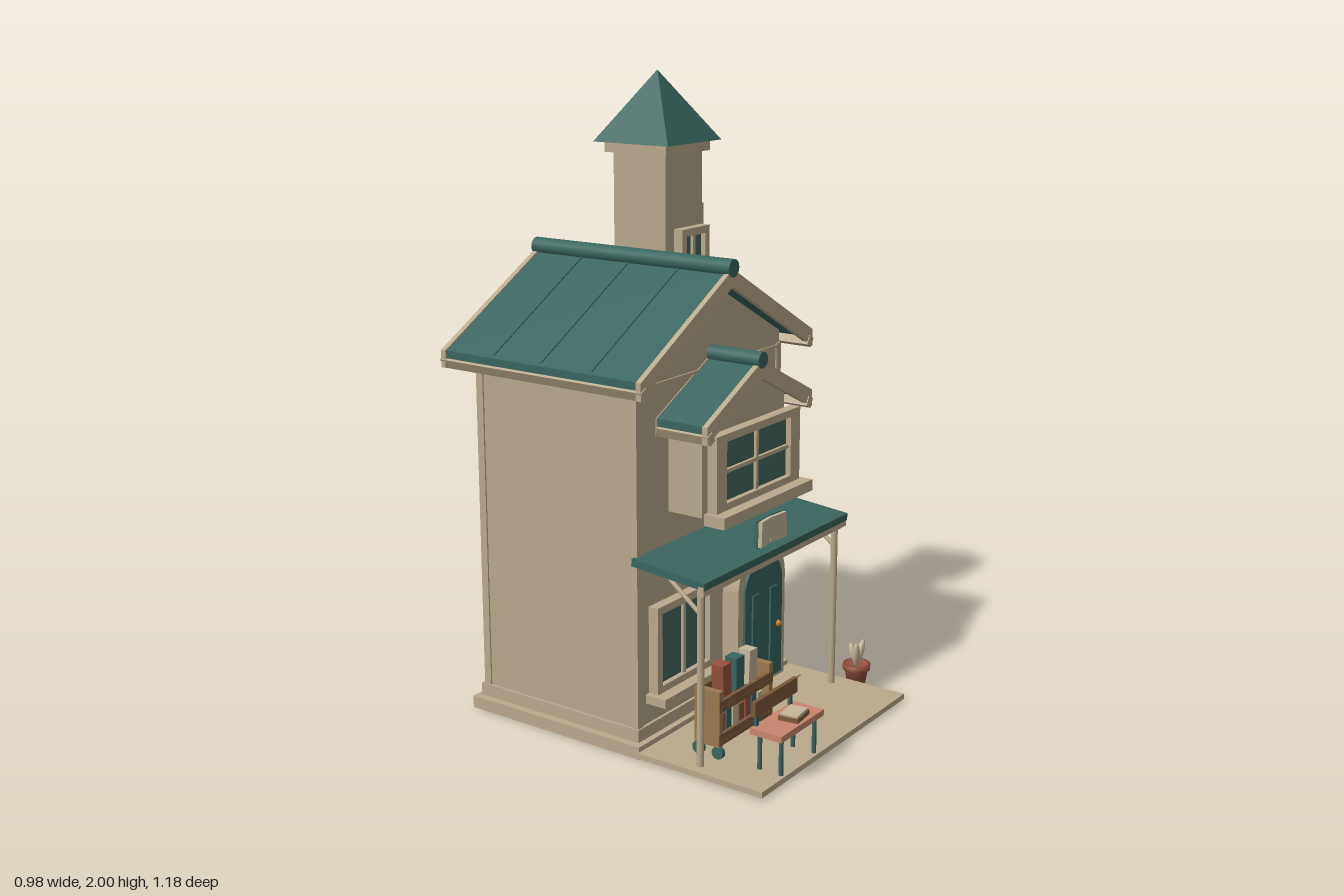
import * as THREE from 'three';

const mat = (name, color) => {
  const m = new THREE.MeshStandardMaterial({ color });
  m.name = name;
  return m;
};

export function createModel() {
  const plaster = mat('plaster', 0xb8a88c), trim = mat('trim', 0xbaaa8d);
  const teal = mat('teal', 0x3a655f), glassMat = mat('glass', 0x46665f);
  const wood = mat('wood', 0x7d5a3a), paleWood = mat('paleWood', 0x9b7a50);
  const pink = mat('pink', 0xc9866f), clay = mat('clay', 0x96503f);
  const brass = mat('brass', 0xb98238), paper = mat('paper', 0xc4b69a);
  const CX = -0.025;

  const root = new THREE.Group();
  root.name = 'townhouse';
  const group = (name, parent = root) => {
    const g = new THREE.Group();
    g.name = name;
    parent.add(g);
    return g;
  };
  const add = (name, geo, m, parent = root, x = 0, y = 0, z = 0) => {
    const mesh = new THREE.Mesh(geo, m);
    mesh.name = name;
    mesh.position.set(x, y, z);
    parent.add(mesh);
    return mesh;
  };
  // Box given by its min and max on each axis
  const box = (name, m, x0, x1, y0, y1, z0, z1, parent = root) =>
    add(name, new THREE.BoxGeometry(x1 - x0, y1 - y0, z1 - z0), m, parent, (x0 + x1) / 2, (y0 + y1) / 2, (z0 + z1) / 2);
  // Polygon in x,y extruded between two z positions
  const prism = (name, m, pts, z0, z1, parent = root) => {
    const shape = new THREE.Shape(pts.map(p => new THREE.Vector2(...p)));
    return add(name, new THREE.ExtrudeGeometry(shape, { depth: z1 - z0, bevelEnabled: false }), m, parent, 0, 0, z0);
  };
  // Round rod between two points
  const rod = (name, m, a, b, r, parent = root) => {
    const p = new THREE.Vector3(...a), q = new THREE.Vector3(...b);
    const mesh = add(name, new THREE.CylinderGeometry(r, r, p.distanceTo(q), 12), m, parent);
    mesh.position.copy(p).lerp(q, 0.5);
    mesh.quaternion.setFromUnitVectors(new THREE.Vector3(0, 1, 0), q.sub(p).normalize());
    return mesh;
  };

  // Base and walls
  box('foundation', trim, -0.445, 0.395, 0, 0.04, -0.52, 0.145);
  box('porchFloor', trim, -0.45, 0.4, 0.006, 0.024, 0.14, 0.587);
  box('plinth', trim, -0.42, 0.37, 0.03, 0.08, -0.505, 0.125);
  prism('walls', plaster, [[-0.41, 0.03], [0.36, 0.03], [0.36, 1.18], [CX, 1.39], [-0.41, 1.18]], -0.49, 0.115);
  for (const x of [-0.402, 0.352]) for (const z of [-0.482, 0.107])
    box('cornerTrim', trim, x - 0.013, x + 0.013, 0.07, 1.14, z - 0.013, z + 0.013);
  for (const z of [-0.492, 0.115]) box('gableBand', trim, -0.405, 0.355, 1.125, 1.135, z - 0.003, z + 0.005);

  // Gabled roof: chevron covering, end boards, eave boards under the edge, and ridge
  const roof = (name, apex, half, drop, z0, z1, seams, ridge) => {
    const g = group(name);
    const chevron = (h, top, t) => {
      const d = drop * h / half;
      return [[CX - h, top - d], [CX - h, top - d - t], [CX, top - t], [CX + h, top - d - t], [CX + h, top - d], [CX, top]];
    };
    prism('roofCovering', teal, chevron(half - 0.002, apex, 0.03), z0 + 0.012, z1 - 0.012, g);
    for (const z of [z0, z1 - 0.018]) prism('bargeBoard', trim, chevron(half + 0.004, apex + 0.004, 0.054), z, z + 0.018, g);
    for (const z of seams) prism('roofSeam', teal, chevron(half - 0.012, apex + 0.004, 0.01), z - 0.004, z + 0.004, g);
    for (const s of [-1, 1]) {
      const eave = add('eaveBoard', new THREE.BoxGeometry(0.026, 0.032, z1 - z0 + 0.006), trim, g,
        CX + s * (half - 0.013), apex - drop - 0.035, (z0 + z1) / 2);
      eave.rotation.z = -s * Math.atan2(drop, half);
    }
    rod('ridgeCap', teal, [CX, apex + 0.007, z0 - 0.002], [CX, apex + 0.007, z1 + 0.003], ridge, g);
  };
  roof('mainRoof', 1.435, 0.46, 0.258, -0.568, 0.193, [-0.37, -0.187, 0.003], 0.028);
  roof('bayRoof', 1.168, 0.285, 0.142, 0.1, 0.3, [], 0.026);

  // Window: frame with a hole, panes, bars and sill; (x, y, z) is the bottom centre of the frame's back
  const windowUnit = (name, x, y, z, turn, w, h, cols, rows, sillH = 0.026, side = 0.024) => {
    const g = group(name);
    g.position.set(x, y, z);
    g.rotation.y = turn;
    const b = 0.024, half = w / 2 - side;
    const rect = (C, hw, y0, y1) => {
      const s = new C();
      s.moveTo(-hw, y0);
      s.lineTo(hw, y0);
      s.lineTo(hw, y1);
      s.lineTo(-hw, y1);
      s.closePath();
      return s;
    };
    const frame = rect(THREE.Shape, w / 2, 0, h);
    frame.holes.push(rect(THREE.Path, half, b, h - b));
    add('windowFrame', new THREE.ExtrudeGeometry(frame, { depth: 0.034, bevelEnabled: false }), trim, g);
    box('windowGlass', glassMat, -half, half, b, h - b, 0.008, 0.016, g);
    for (let i = 1; i < cols; i++) {
      const bx = -half + 2 * half * i / cols;
      box('windowBar', trim, bx - 0.006, bx + 0.006, b, h - b, 0.01, 0.026, g);
    }
    for (let i = 1; i < rows; i++) {
      const by = b + (h - 2 * b) * i / rows;
      box('windowBar', trim, -half, half, by - 0.006, by + 0.006, 0.01, 0.026, g);
    }
    box('windowSill', trim, -w / 2 - 0.017, w / 2 + 0.017, -sillH, 0.002, 0, 0.073, g);
  };
  for (const y of [0.255, 0.798]) {
    windowUnit('sideWindow', 0.381, y, -0.19, Math.PI / 2, 0.25, 0.247, 2, 2);
    windowUnit('backWindow', CX, y, -0.517, Math.PI, 0.25, 0.247, 2, 2);
  }
  windowUnit('shopWindow', -0.228, 0.188, 0.133, 0, 0.297, 0.278, 2, 1);

  // Upper bay
  prism('bayWalls', plaster, [[-0.25, 0.727], [0.2, 0.727], [0.2, 1.03], [CX, 1.13], [-0.25, 1.03]], 0.1, 0.237);
  windowUnit('bayWindow', CX, 0.748, 0.26, 0, 0.46, 0.237, 2, 2, 0.034, 0.053);

  // Tower
  box('towerWalls', plaster, 0.1, 0.3, 1.15, 1.76, -0.35, -0.147);
  box('towerCornice', trim, 0.08, 0.32, 1.745, 1.778, -0.37, -0.13);
  const spire = add('towerRoof', new THREE.ConeGeometry(0.146 * Math.SQRT2, 0.222, 4, 1).toNonIndexed(), teal, root, 0.2, 1.889, -0.25);
  spire.geometry.computeVertexNormals();
  spire.rotation.y = Math.PI / 4;
  windowUnit('towerFrontWindow', 0.2, 1.3, -0.133, 0, 0.15, 0.213, 2, 1);
  windowUnit('towerSideWindow', 0.312, 1.358, -0.248, Math.PI / 2, 0.15, 0.213, 2, 1);

  // Arched door
  const arch = (C, half, y0, spring) => {
    const s = new C();
    s.moveTo(-half, y0);
    s.lineTo(half, y0);
    s.lineTo(half, spring);
    s.absarc(0, spring, half, 0, Math.PI, false);
    s.closePath();
    return s;
  };
  const door = group('door');
  door.position.set(0.182, 0, 0);
  const surround = arch(THREE.Shape, 0.138, 0.03, 0.38);
  surround.holes.push(arch(THREE.Path, 0.108, 0.045, 0.37));
  const extr = (s, depth) => new THREE.ExtrudeGeometry(s, { depth, bevelEnabled: false, curveSegments: 20 });
  add('doorSurround', extr(surround, 0.06), trim, door, 0, 0, 0.115);
  add('doorLeaf', extr(arch(THREE.Shape, 0.109, 0.045, 0.37), 0.068), teal, door, 0, 0, 0.115);
  for (const s of [-1, 1])
    box('doorPanel', teal, s * 0.052 - 0.02, s * 0.052 + 0.02, 0.09, 0.36, 0.18, 0.189, door);
  add('doorKnob', new THREE.SphereGeometry(0.011, 12, 8), brass, door, 0.075, 0.225, 0.192);
  box('doorStep', trim, -0.15, 0.15, 0.015, 0.03, 0.115, 0.235, door);

  // Sloping porch canopy on posts with braces
  const canopy = add('canopy', new THREE.BoxGeometry(0.81, 0.024, 0.262), teal, root, CX, 0.604, 0.241);
  canopy.rotation.x = 0.09;
  box('canopyBeam', trim, -0.432, 0.378, 0.562, 0.591, 0.35, 0.369);
  for (const x of [-0.41, 0.345]) {
    rod('porchPost', trim, [x, 0.02, 0.345], [x, 0.58, 0.345], 0.011);
    rod('porchBrace', trim, [x, 0.5, 0.343], [x, 0.585, 0.235], 0.007);
  }

  // Open book sign
  const sign = group('bookSign');
  sign.position.set(-0.027, 0.65, 0.325);
  for (const s of [-1, 1]) {
    const half = group('bookHalf', sign);
    half.rotation.set(0, -s * 0.2, s * 0.06);
    const x = s * 0.038;
    box('signCover', teal, x - 0.038, x + 0.038, -0.043, 0.043, -0.012, 0, half);
    box('signPages', paper, x - 0.036, x + 0.036, -0.04, 0.04, 0, 0.012, half);
  }

  // Book cart
  const cart = group('bookCart');
  for (const x of [-0.36, -0.09]) {
    box('cartEnd', paleWood, x - 0.01, x + 0.01, 0.075, 0.25, 0.295, 0.385, cart);
    for (const z of [0.305, 0.375]) {
      const wheel = add('cartWheel', new THREE.CylinderGeometry(0.02, 0.02, 0.014, 14), teal, cart, x, 0.055, z);
      wheel.rotation.z = Math.PI / 2;
    }
  }
  for (const y of [0.08, 0.185]) {
    box('cartShelf', wood, -0.36, -0.09, y, y + 0.015, 0.293, 0.387, cart);
    box('cartLip', wood, -0.37, -0.08, y, y + 0.035, 0.375, 0.386, cart);
  }
  box('cartBack', wood, -0.36, -0.09, 0.08, 0.24, 0.293, 0.301, cart);
  const covers = [clay, teal, paper, wood];
  for (let i = 0; i < 7; i++) {
    const x = -0.33 + i * 0.034;
    box('shelfBook', covers[i % 4], x - 0.013, x + 0.013, 0.095, 0.165 + 0.008 * (i % 3), 0.305, 0.37, cart);
  }
  [[-0.292, clay, 0.06], [-0.222, teal, 0], [-0.152, paper, -0.06]].forEach(([x, m, tilt]) => {
    const book = box('displayBook', m, x - 0.021, x + 0.021, 0.2, 0.308, 0.318, 0.36, cart);
    book.rotation.z = tilt;
  });

  // Bench with an open book on the seat
  const bench = group('bench');
  box('benchSeat', pink, -0.35, -0.113, 0.138, 0.158, 0.48, 0.588, bench);
  box('benchBack', wood, -0.348, -0.115, 0.192, 0.24, 0.483, 0.496, bench);
  for (const x of [-0.325, -0.14]) {
    for (const z of [0.498, 0.572]) rod('benchLeg', teal, [x, 0.02, z], [x, 0.14, z], 0.007, bench);
    box('benchBackPost', teal, x - 0.006, x + 0.006, 0.15, 0.215, 0.48, 0.49, bench);
  }
  const novel = group('benchBook', bench);
  novel.position.set(-0.21, 0.158, 0.543);
  novel.rotation.y = 0.12;
  box('bookCover', wood, -0.042, 0.042, 0, 0.014, -0.032, 0.032, novel);
  box('bookPage', paper, -0.037, 0.037, 0.012, 0.02, -0.028, 0.028, novel);

  // Potted plant
  const plant = group('pottedPlant');
  plant.position.set(0.445, 0, 0.383);
  const profile = [[0, 0], [0.031, 0], [0.039, 0.048], [0.046, 0.048], [0.046, 0.066], [0.037, 0.066], [0.036, 0.058], [0, 0.058]];
  const potGeo = new THREE.LatheGeometry(profile.map(p => new THREE.Vector2(...p)), 20);
  add('pot', potGeo, clay, plant);
  for (const [x, z, tilt, h] of [[-0.012, 0.005, 0.2, 0.045], [0.015, 0.003, -0.35, 0.046], [0, -0.014, 0.02, 0.035]]) {
    const leaf = add('leaf', new THREE.SphereGeometry(1, 12, 8), paper, plant, x, 0.1, z);
    leaf.scale.set(0.015, h, 0.012);
    leaf.rotation.set(z < 0 ? -0.3 : 0.1, 0, tilt);
  }
  return root;
}
